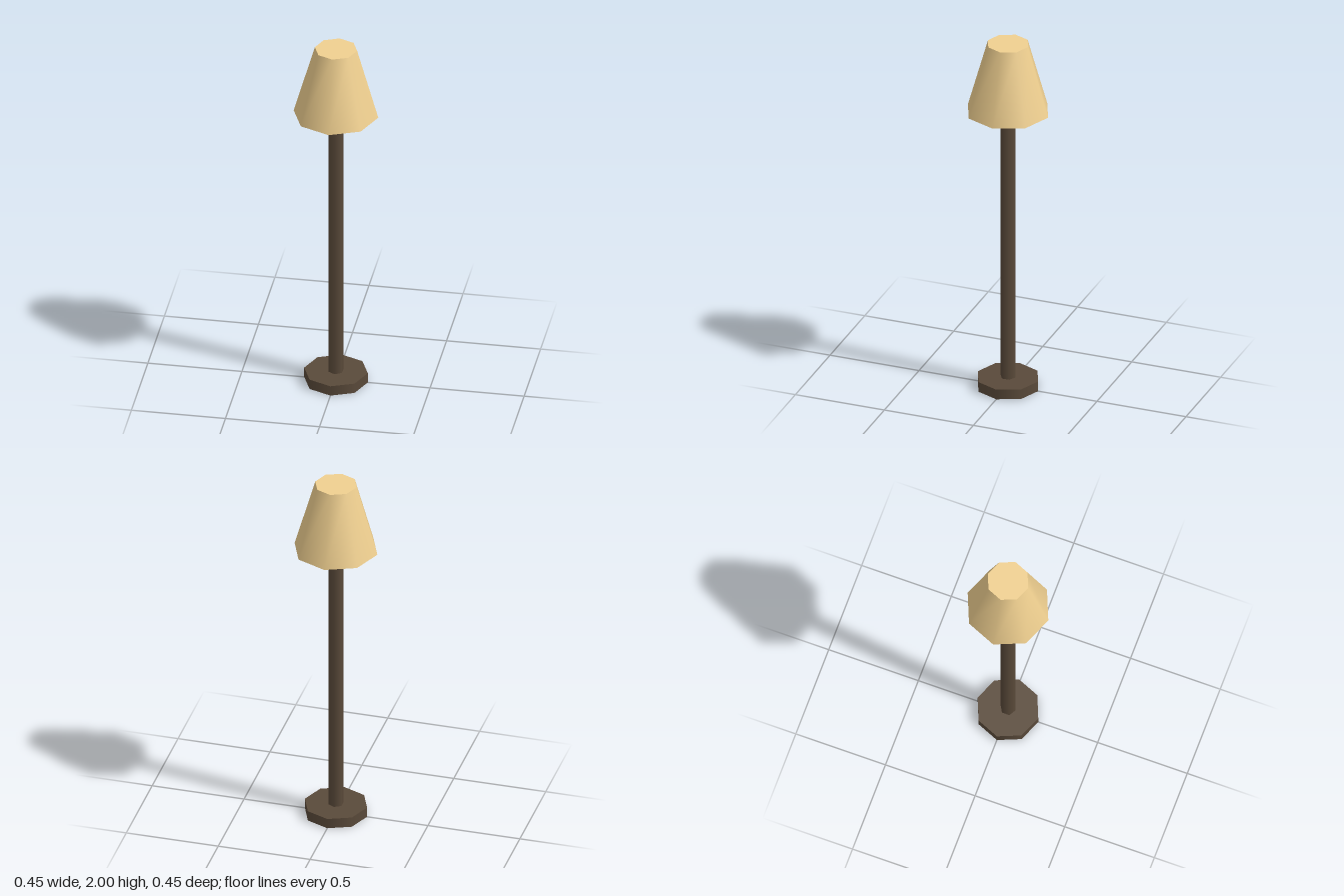
import * as THREE from 'three';

// Low-poly floor lamp: octagonal base, hexagonal pole, tapered octagonal shade
export function createModel() {
  const lamp = new THREE.Group();
  lamp.name = 'floorLamp';
  const wood = new THREE.MeshStandardMaterial({ color: 0x5a4a3a });
  const fabric = new THREE.MeshStandardMaterial({ color: 0xf0d090 });

  // Upright prism or frustum standing between two heights
  function addPart(name, rTop, rBottom, yBottom, yTop, sides, material) {
    const geometry = new THREE.CylinderGeometry(rTop, rBottom, yTop - yBottom, sides);
    const mesh = new THREE.Mesh(geometry, material);
    mesh.name = name;
    mesh.position.y = (yBottom + yTop) / 2;
    lamp.add(mesh);
  }

  addPart('base', 0.169, 0.169, 0, 0.056, 8, wood);
  addPart('pole', 0.041, 0.041, 0.056, 1.63, 6, wood);
  addPart('shade', 0.1125, 0.225, 1.607, 2, 8, fabric);

  return lamp;
}
